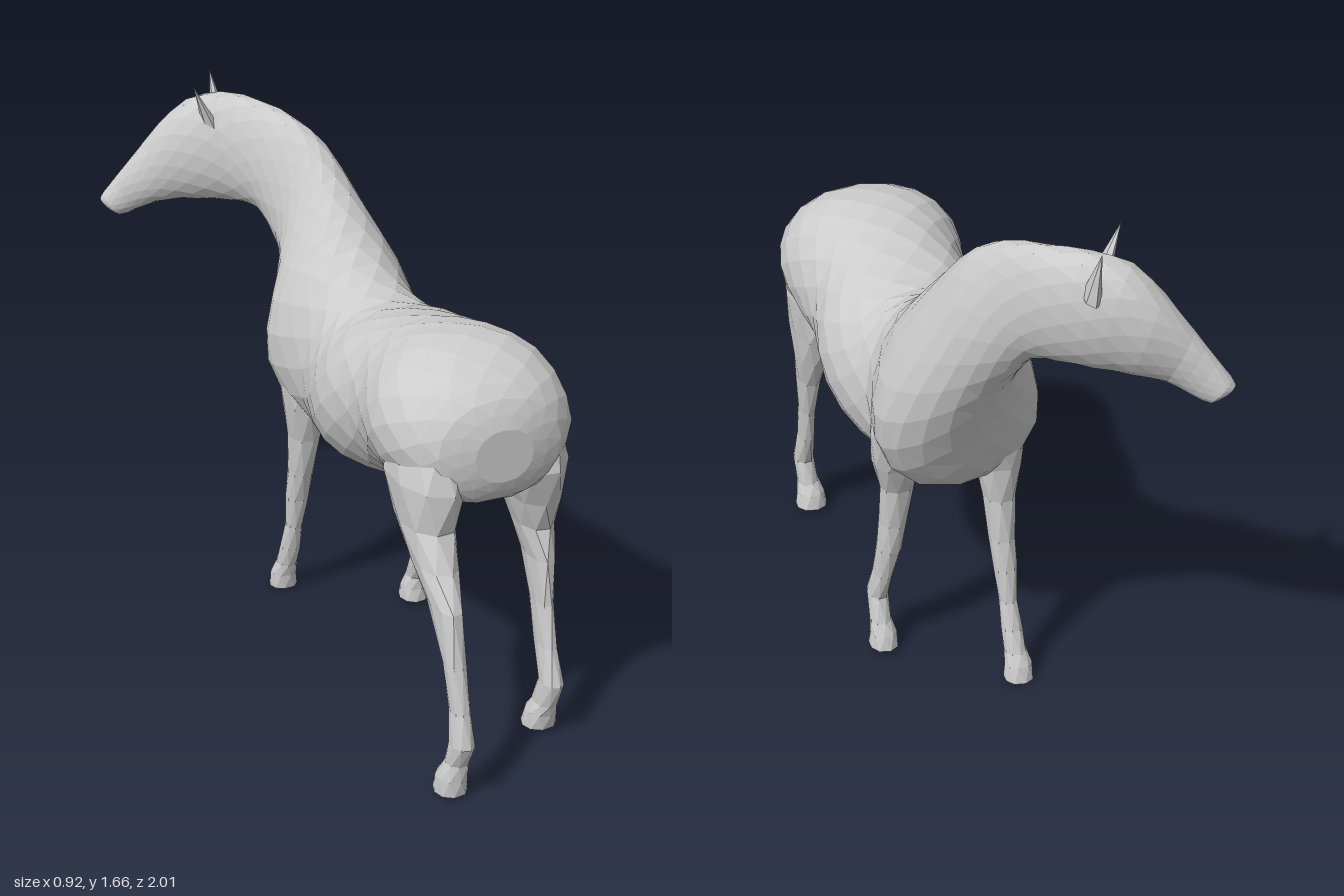
import * as THREE from 'three';

const material = new THREE.MeshStandardMaterial({ color: 0xcccccc, flatShading: true });

// Skin over rings. Each ring: two opposite edge points a and b, half width w,
// and taper (how much narrower it gets towards a).
function loft(rings, sides, steps) {
  const curveA = new THREE.CatmullRomCurve3(rings.map(r => r.a));
  const curveB = new THREE.CatmullRomCurve3(rings.map(r => r.b));
  const widths = new THREE.CatmullRomCurve3(rings.map(r => new THREE.Vector3(r.w, r.taper || 0, 0)));
  const n = (rings.length - 1) * steps;
  const fine = [];
  for (let i = 0; i <= n; i++) {
    const a = curveA.getPoint(i / n), b = curveB.getPoint(i / n), w = widths.getPoint(i / n);
    fine.push({ c: a.clone().add(b).multiplyScalar(0.5), up: a.sub(b).multiplyScalar(0.5), w: w.x, taper: w.y });
  }
  const pos = [], index = [];
  fine.forEach((r, i) => {
    const t = fine[Math.min(i + 1, n)].c.clone().sub(fine[Math.max(i - 1, 0)].c);
    const side = t.cross(r.up).normalize();
    for (let j = 0; j < sides; j++) {
      const ang = ((j + (i % 2) * 0.5) / sides) * Math.PI * 2;
      const s = Math.sin(ang), k = Math.cos(ang);
      const x = Math.sign(k) * Math.abs(k) ** 0.88 * r.w * (1 - r.taper * s);
      const p = r.c.clone().addScaledVector(side, x).addScaledVector(r.up, s);
      pos.push(p.x, p.y, p.z);
    }
  });
  for (let i = 0; i < n; i++) {
    for (let j = 0; j < sides; j++) {
      const k = (j + 1) % sides;
      const a = i * sides + j, d = i * sides + k, b = a + sides, c = d + sides;
      if (i % 2) index.push(a, b, c, a, c, d);
      else index.push(a, b, d, b, c, d);
    }
  }
  // end caps
  const first = pos.length / 3, last = first + 1;
  pos.push(...fine[0].c.toArray(), ...fine[n].c.toArray());
  for (let j = 0; j < sides; j++) {
    const k = (j + 1) % sides;
    index.push(first, j, k, last, n * sides + k, n * sides + j);
  }
  const g = new THREE.BufferGeometry();
  g.setAttribute('position', new THREE.Float32BufferAttribute(pos, 3));
  g.setIndex(index);
  g.computeVertexNormals();
  return g;
}

function addMesh(group, geometry, name) {
  const mesh = new THREE.Mesh(geometry, material);
  mesh.name = name;
  group.add(mesh);
  return mesh;
}

// Ring from upper point, lower point, half width, taper
const ring = ([ax, ay, az, bx, by, bz, w, taper]) =>
  ({ a: new THREE.Vector3(ax, ay, az), b: new THREE.Vector3(bx, by, bz), w, taper });

// Leg ring from x, y, rear z, front z, half width
const legRing = ([x, y, z0, z1, w]) =>
  ({ a: new THREE.Vector3(x, y, z0), b: new THREE.Vector3(x, y, z1), w });

// Trunk from rump to shoulders
const trunk = [
  [0.16, 1.06, 0.80, 0.16, 0.90, 0.80, 0.09, 0],
  [0.16, 1.14, 0.765, 0.16, 0.84, 0.775, 0.19, 0],
  [0.16, 1.205, 0.68, 0.16, 0.80, 0.70, 0.265, 0],
  [0.16, 1.245, 0.54, 0.16, 0.78, 0.56, 0.295, 0],
  [0.16, 1.24, 0.42, 0.16, 0.755, 0.43, 0.28, 0],
  [0.155, 1.215, 0.29, 0.155, 0.70, 0.29, 0.26, 0],
  [0.155, 1.18, 0.13, 0.155, 0.65, 0.12, 0.28, 0],
  [0.15, 1.155, 0.00, 0.15, 0.635, -0.03, 0.26, 0.05],
  [0.14, 1.19, -0.10, 0.14, 0.64, -0.20, 0.22, 0.1],
  [0.14, 1.26, -0.21, 0.13, 0.68, -0.37, 0.24, 0.22],
  [0.14, 1.34, -0.30, 0.13, 0.79, -0.44, 0.225, 0.35],
];
// Neck, turning towards the right
const neck = [
  [0.14, 1.43, -0.40, 0.11, 0.94, -0.50, 0.17, 0.35],
  [0.12, 1.52, -0.50, 0.08, 1.08, -0.56, 0.12, 0.25],
  [0.07, 1.575, -0.59, 0.04, 1.19, -0.63, 0.095, 0.2],
  [0.005, 1.608, -0.71, 0.0, 1.255, -0.68, 0.085, 0.1],
];
// Head from poll to muzzle
const head = [
  [-0.09, 1.62, -0.82, -0.05, 1.27, -0.73, 0.09, 0],
  [-0.19, 1.59, -0.875, -0.13, 1.27, -0.79, 0.10, -0.05],
  [-0.27, 1.51, -0.915, -0.22, 1.265, -0.85, 0.085, -0.05],
  [-0.35, 1.405, -0.945, -0.30, 1.25, -0.89, 0.058, 0],
  [-0.41, 1.325, -0.97, -0.355, 1.22, -0.93, 0.045, 0],
  [-0.447, 1.275, -0.985, -0.40, 1.20, -0.955, 0.042, 0],
  [-0.458, 1.255, -0.99, -0.425, 1.215, -0.97, 0.025, 0],
];

const legs = {
  hindLegLeft: [
    [0.31, 1.02, 0.74, 0.42, 0.10], [0.33, 0.88, 0.775, 0.39, 0.105],
    [0.35, 0.76, 0.73, 0.435, 0.075], [0.36, 0.66, 0.69, 0.485, 0.055],
    [0.365, 0.56, 0.71, 0.54, 0.037], [0.365, 0.42, 0.72, 0.60, 0.028],
    [0.365, 0.29, 0.755, 0.64, 0.026], [0.367, 0.18, 0.79, 0.69, 0.034],
    [0.36, 0.10, 0.765, 0.67, 0.036], [0.355, 0.065, 0.755, 0.65, 0.047],
    [0.355, 0.015, 0.745, 0.64, 0.054],
  ],
  hindLegRight: [
    [0.01, 1.02, 0.75, 0.44, 0.10], [-0.01, 0.88, 0.80, 0.46, 0.105],
    [-0.02, 0.76, 0.79, 0.54, 0.08], [-0.025, 0.66, 0.845, 0.65, 0.06],
    [-0.03, 0.57, 0.912, 0.75, 0.042], [-0.03, 0.42, 0.945, 0.865, 0.032],
    [-0.025, 0.28, 0.975, 0.895, 0.029], [-0.025, 0.18, 1.0, 0.905, 0.036],
    [-0.03, 0.11, 0.97, 0.90, 0.036], [-0.04, 0.06, 0.97, 0.87, 0.046],
    [-0.04, 0.01, 0.968, 0.86, 0.05],
  ],
  frontLegLeft: [
    [0.26, 0.98, -0.16, -0.38, 0.09], [0.29, 0.82, -0.155, -0.37, 0.085],
    [0.295, 0.72, -0.16, -0.32, 0.07], [0.285, 0.62, -0.165, -0.275, 0.052],
    [0.295, 0.48, -0.15, -0.25, 0.042], [0.305, 0.38, -0.135, -0.235, 0.039],
    [0.32, 0.27, -0.105, -0.205, 0.028], [0.33, 0.18, -0.08, -0.175, 0.033],
    [0.33, 0.10, -0.125, -0.20, 0.034], [0.325, 0.06, -0.125, -0.22, 0.042],
    [0.325, 0.015, -0.12, -0.23, 0.047],
  ],
  frontLegRight: [
    [0.02, 0.98, -0.19, -0.42, 0.09], [0.0, 0.82, -0.20, -0.42, 0.085],
    [-0.005, 0.72, -0.22, -0.40, 0.07], [-0.005, 0.60, -0.255, -0.385, 0.05],
    [-0.01, 0.46, -0.29, -0.39, 0.041], [-0.015, 0.36, -0.32, -0.40, 0.037],
    [-0.02, 0.25, -0.345, -0.41, 0.028], [-0.025, 0.16, -0.365, -0.435, 0.033],
    [-0.03, 0.09, -0.385, -0.46, 0.034], [-0.035, 0.05, -0.395, -0.48, 0.043],
    [-0.035, 0.0, -0.40, -0.492, 0.047],
  ],
};

// Ear: flattened cone from base to tip
function addEar(group, name, base, tip) {
  const from = new THREE.Vector3(...base), dir = new THREE.Vector3(...tip).sub(from);
  const g = new THREE.ConeGeometry(0.042, dir.length(), 6, 2);
  g.scale(0.6, 1, 1);
  const ear = addMesh(group, g, name);
  ear.position.copy(from).addScaledVector(dir, 0.5);
  ear.quaternion.setFromUnitVectors(new THREE.Vector3(0, 1, 0), dir.normalize());
}

export function createModel() {
  const horse = new THREE.Group();
  horse.name = 'horse';
  addMesh(horse, loft([...trunk, ...neck, ...head].map(ring), 16, 2), 'bodyNeckAndHead');
  for (const [name, rows] of Object.entries(legs)) {
    addMesh(horse, loft(rows.map(legRing), 9, 1), name);
  }
  addEar(horse, 'earRight', [-0.14, 1.52, -0.775], [-0.205, 1.665, -0.75]);
  addEar(horse, 'earLeft', [-0.08, 1.52, -0.88], [-0.09, 1.665, -0.925]);
  return horse;
}
